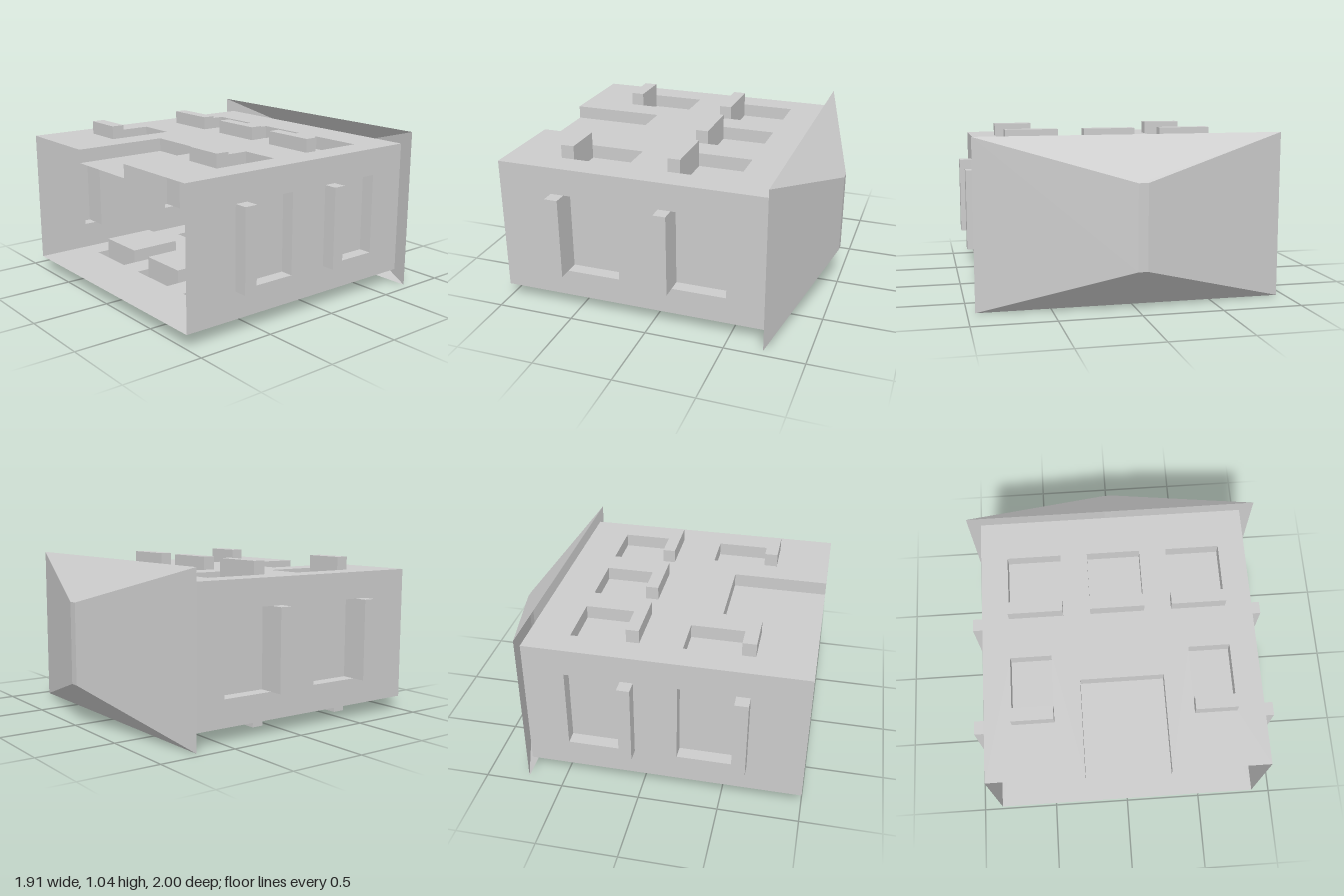
import * as THREE from 'three';

const W = 0.867, D = 0.432, BASE = -1, EAVE = 0.733; // house half width, half depth, bottom, wall top
const DEPTH = 0.086;                                 // window recess and sill projection
const ROWS = [[0.475, 0.128, 0.048], [-0.218, -0.567, -0.652]]; // window top, sill top, sill bottom

const material = new THREE.MeshStandardMaterial({ color: 0xcccccc, flatShading: true, side: THREE.DoubleSide });

function add(parent, name, geometry) {
  const mesh = new THREE.Mesh(geometry, material);
  mesh.name = name;
  parent.add(mesh);
  return mesh;
}

// Flat-faced surface from polygons given as counter-clockwise corner lists
function faces(polygons) {
  const pos = [];
  for (const p of polygons)
    for (let i = 1; i < p.length - 1; i++) pos.push(...p[0], ...p[i], ...p[i + 1]);
  const g = new THREE.BufferGeometry();
  g.setAttribute('position', new THREE.Float32BufferAttribute(pos, 3));
  g.computeVertexNormals();
  return g;
}

// Sweep a (height, outward) profile sideways from u0 to u1; caps are [top, bottom, outward]
function relief(u0, u1, profile, caps) {
  const quads = [];
  for (let i = 0; i < profile.length - 1; i++) {
    const a = profile[i], b = profile[i + 1];
    quads.push([[u0, ...b], [u1, ...b], [u1, ...a], [u0, ...a]]);
  }
  for (const [top, low, s] of caps) {
    const cap = [[low, 0], [low, s], [top, s], [top, 0]];
    quads.push(cap.map(p => [u0, ...p]));
    quads.push(cap.map(p => [u1, ...p]).reverse());
  }
  return faces(quads);
}

// Recessed pane with a hollow projecting sill below it
function windowRelief(u0, u1, [top, mid, low]) {
  return relief(u0, u1,
    [[top, 0], [top, -DEPTH], [mid, -DEPTH], [mid, DEPTH], [low, DEPTH], [low, 0]],
    [[top, mid, -DEPTH], [mid, low, DEPTH]]);
}

// One wall sheet facing +z, with openings for its windows and an optional door
function wall(name, half, windows, door) {
  const group = new THREE.Group();
  group.name = name;
  const outline = [[-half, BASE], [half, BASE], [half, EAVE], [-half, EAVE]];
  if (door) {
    const { w, top } = door;
    outline.splice(1, 0, [-w, BASE], [-w, top], [w, top], [w, BASE]);
    add(group, 'door', relief(-w, w, [[top, 0], [top, -DEPTH], [BASE, -DEPTH]], [[top, BASE, -DEPTH]]));
  }
  const shape = new THREE.Shape(outline.map(p => new THREE.Vector2(...p)));
  for (const [u0, u1, row] of windows) {
    const [top, , low] = ROWS[row];
    shape.holes.push(new THREE.Path([[u0, low], [u0, top], [u1, top], [u1, low]].map(p => new THREE.Vector2(...p))));
    add(group, 'window', windowRelief(u0, u1, ROWS[row]));
  }
  add(group, 'wallSheet', new THREE.ShapeGeometry(shape));
  return group;
}

// Hipped roof, open underneath
function roofGeometry() {
  const ex = 0.952, ez = 0.52, rx = 0.03, rz = 0.26;
  const low = [[-ex, ez], [ex, ez], [ex, -ez], [-ex, -ez]].map(([x, z]) => [x, EAVE, z]);
  const high = [[-rx, rz], [rx, rz], [rx, -rz], [-rx, -rz]].map(([x, z]) => [x, 1, z]);
  const polys = [high];
  for (let i = 0; i < 4; i++) {
    const j = (i + 1) % 4;
    polys.push([low[i], low[j], high[j], high[i]]);
  }
  return faces(polys);
}

export function createModel() {
  const model = new THREE.Group();
  model.name = 'house';

  // The house is built upright, then laid on its back
  const house = new THREE.Group();
  house.name = 'houseBody';
  house.rotation.x = -Math.PI / 2;
  house.position.y = 0.52;
  model.add(house);

  const wide = [[-0.695, -0.347], [-0.173, 0.173], [0.347, 0.695]];
  const upper = wide.map(([a, b]) => [a, b, 0]);
  const lower = wide.map(([a, b]) => [a, b, 1]);
  const narrow = [[-0.695, -0.433, 1], [0.433, 0.695, 1]];

  // Front and back walls
  const front = wall('frontWall', W, [...upper, ...narrow], { w: 0.262, top: -0.39 });
  front.position.z = D;
  const back = wall('backWall', W, [...upper, ...lower]);
  back.position.z = -D;
  back.rotation.y = Math.PI;
  house.add(front, back);

  // Side walls
  for (const s of [1, -1]) {
    const side = wall(s > 0 ? 'leftWall' : 'rightWall', D, [[-0.26, 0.26, 0], [-0.26, 0.26, 1]]);
    side.position.x = s * W;
    side.rotation.y = s * Math.PI / 2;
    house.add(side);
  }

  // Ceiling closing the wall tops, and the roof above it
  const ceiling = add(house, 'ceiling', new THREE.PlaneGeometry(2 * W, 2 * D));
  ceiling.rotation.x = Math.PI / 2;
  ceiling.position.y = EAVE;
  add(house, 'roof', roofGeometry());

  return model;
}
